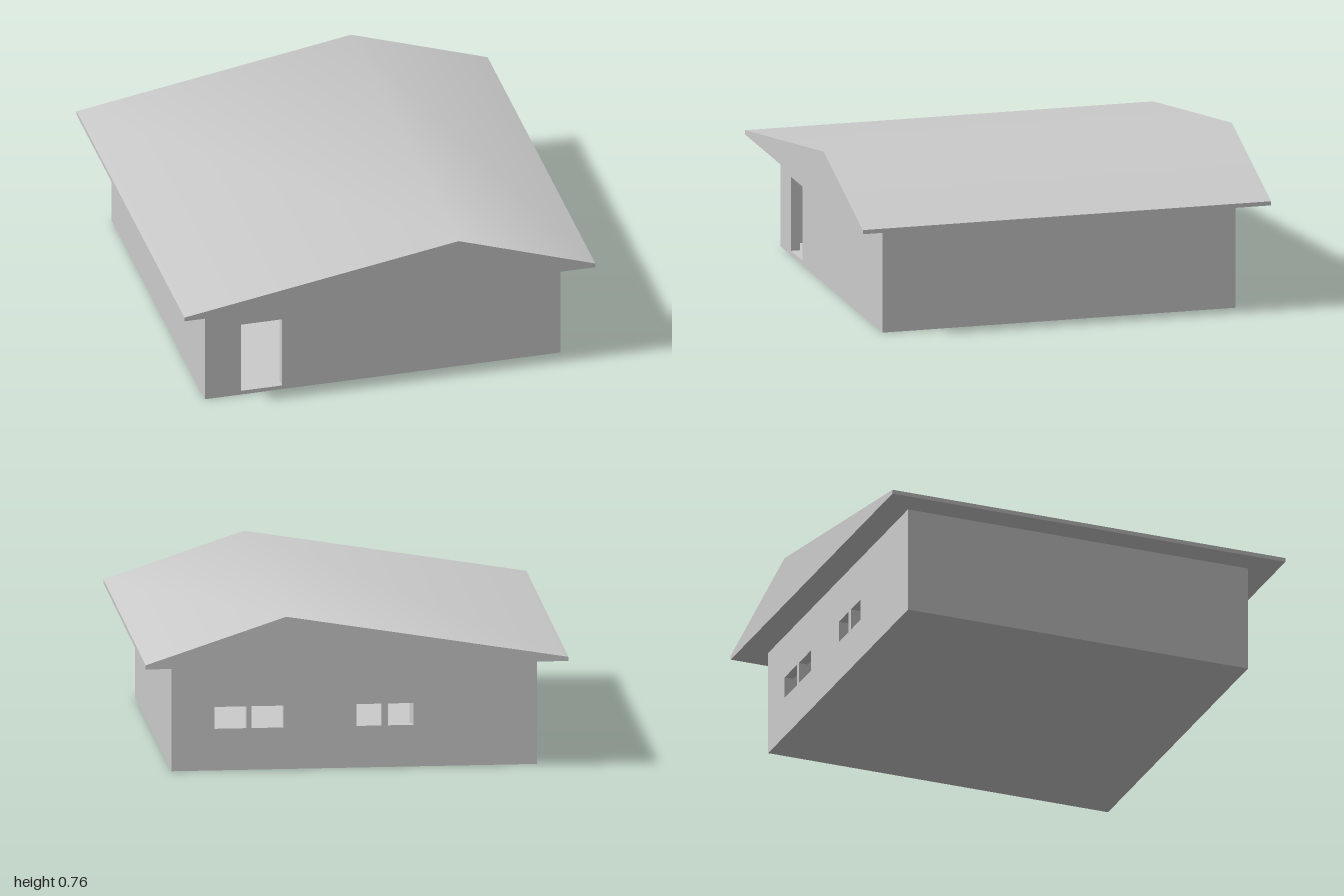
import * as THREE from 'three';
import { toCreasedNormals } from 'three/addons/utils/BufferGeometryUtils.js';

const HALF = 0.865;   // half width of the square house body
const WALL = 0.045;   // wall thickness
const FLOOR = 0.02;   // slab thickness
const EAVE = 0.52;    // top of the walls, underside of the roof

const material = new THREE.MeshStandardMaterial({ color: 0xcccccc });

function addMesh(parent, name, geometry, x = 0, y = 0, z = 0) {
  const mesh = new THREE.Mesh(geometry, material);
  mesh.name = name;
  mesh.position.set(x, y, z);
  parent.add(mesh);
}

function addBox(parent, name, x0, x1, y0, y1, z0, z1) {
  addMesh(parent, name, new THREE.BoxGeometry(x1 - x0, y1 - y0, z1 - z0),
    (x0 + x1) / 2, (y0 + y1) / 2, (z0 + z1) / 2);
}

function polygon(points, Type = THREE.Shape) {
  return new Type(points.map(([x, y]) => new THREE.Vector2(x, y)));
}

function rectangle(x0, x1, y0, y1, Type) {
  return polygon([[x0, y0], [x1, y0], [x1, y1], [x0, y1]], Type);
}

// Full-width wall with rectangular openings [x0, x1, y0, y1]
function addPiercedWall(parent, name, z, openings) {
  const shape = rectangle(-HALF, HALF, 0, EAVE);
  for (const o of openings) shape.holes.push(rectangle(...o, THREE.Path));
  addMesh(parent, name,
    new THREE.ExtrudeGeometry(shape, { depth: WALL, bevelEnabled: false }), 0, 0, z);
}

export function createModel() {
  const house = new THREE.Group();
  house.name = 'house';
  const inner = HALF - WALL;

  // Floor slab
  addBox(house, 'floor', -inner, inner, 0, FLOOR, -inner, inner);

  // Front wall with the doorway
  addPiercedWall(house, 'frontWall', inner, [[-0.69, -0.49, FLOOR, 0.38]]);

  // Back wall with two pairs of windows
  addPiercedWall(house, 'backWall', -HALF, [
    [0.51, 0.66, 0.2, 0.305], [0.335, 0.485, 0.2, 0.305],
    [-0.13, -0.01, 0.2, 0.305], [-0.28, -0.16, 0.2, 0.305],
  ]);

  // Plain side walls
  for (const [name, side] of [['leftWall', 1], ['rightWall', -1]]) {
    const x = side * (HALF - WALL / 2);
    addBox(house, name, x - WALL / 2, x + WALL / 2, 0, EAVE, -inner, inner);
  }

  // Partitions between the back rooms
  for (const x of [0.15, -0.36]) {
    addBox(house, 'partition', x - WALL / 2, x + WALL / 2, FLOOR, EAVE, -inner, -0.1);
  }

  // Off-centre gable roof, softly shaded across the ridge
  const gable = polygon([[-1, EAVE], [1, EAVE], [1, 0.54], [0.335, 0.76], [-1, 0.54]]);
  const roof = new THREE.ExtrudeGeometry(gable, { depth: 2, bevelEnabled: false });
  addMesh(house, 'roof', toCreasedNormals(roof, Math.PI / 6), 0, 0, -1);

  return house;
}
